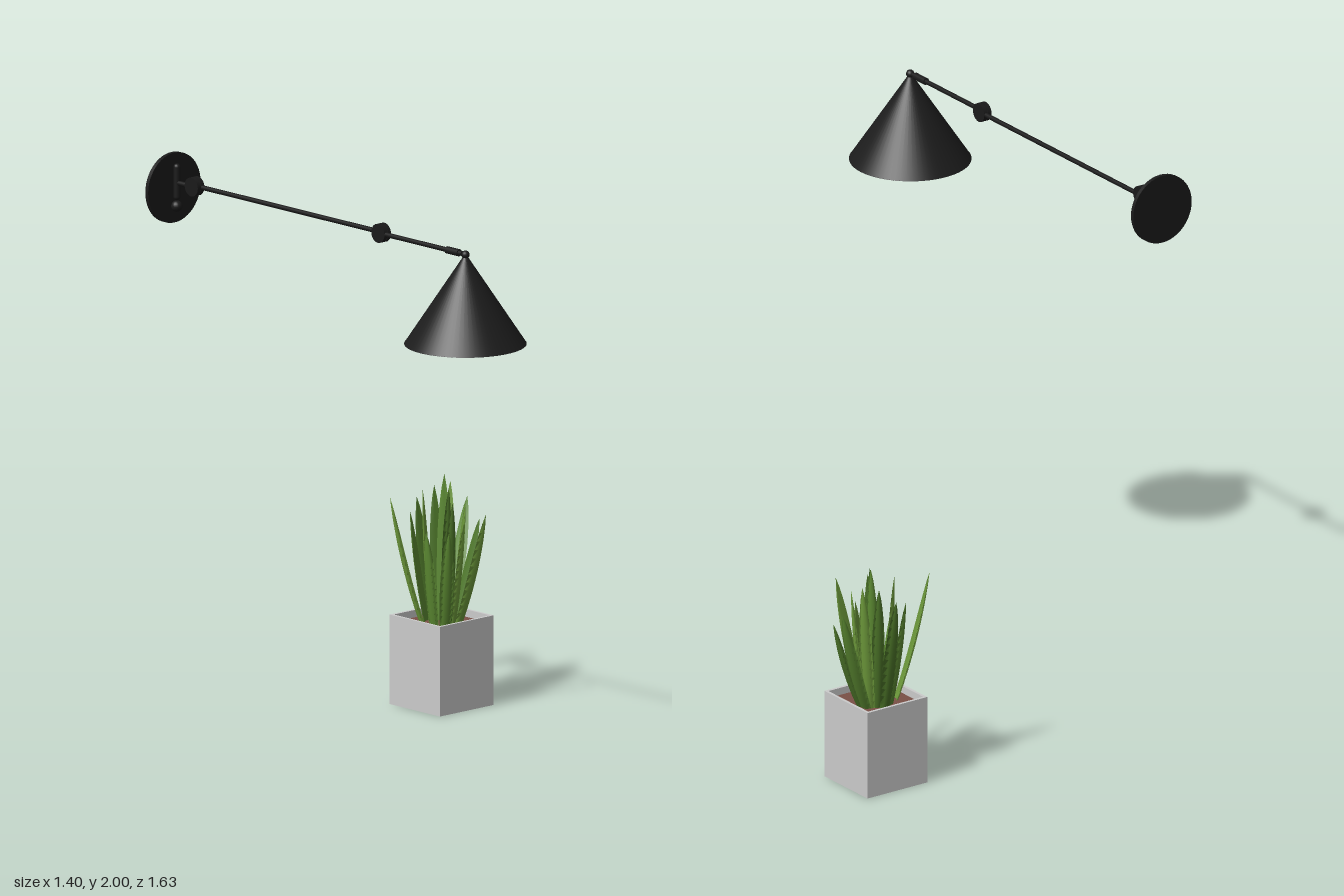
import * as THREE from 'three';

const mat = (color, side = THREE.FrontSide) => new THREE.MeshStandardMaterial({ color, side });
const black = mat(0x1a1a1a);
const blackOpen = mat(0x1c1c1c, THREE.DoubleSide);
const concrete = mat(0xcccccc);
const greens = [mat(0x6f9c3c, THREE.DoubleSide), mat(0x5c8a32, THREE.DoubleSide), mat(0x4d7629, THREE.DoubleSide)];

function add(parent, name, geometry, material, x = 0, y = 0, z = 0) {
  const mesh = new THREE.Mesh(geometry, material);
  mesh.name = name;
  mesh.position.set(x, y, z);
  parent.add(mesh);
  return mesh;
}

// Cylinder lying along z between two depths
function rod(parent, name, r, x, y, z0, z1, sides = 16) {
  const geo = new THREE.CylinderGeometry(r, r, Math.abs(z1 - z0), sides).rotateX(Math.PI / 2);
  return add(parent, name, geo, black, x, y, (z0 + z1) / 2);
}

function createLamp() {
  const lamp = new THREE.Group();
  lamp.name = 'wallLamp';
  const X = -0.5, Y = 1.9, Z = 0.615;

  // Wall plate and swivel
  rod(lamp, 'wallPlate', 0.119, X, 1.881, -0.81, -0.796, 48);
  add(lamp, 'swivelPost', new THREE.CapsuleGeometry(0.012, 0.1, 6, 16), black, X, 1.903, -0.784);
  add(lamp, 'swivelKnob', new THREE.SphereGeometry(0.019, 16, 12), black, X, 1.82, -0.785);

  // Arm in three offset lengths
  rod(lamp, 'rearArm', 0.008, X, Y, -0.79, -0.69);
  rod(lamp, 'mainArm', 0.008, -0.487, Y, -0.72, 0.2);
  rod(lamp, 'frontArm', 0.008, X, Y, 0.19, 0.6);
  rod(lamp, 'armSleeve', 0.012, X, Y, 0.525, 0.585);

  // Disc hinges between the lengths
  for (const z of [-0.705, 0.2]) {
    for (const x of [-0.502, -0.486]) {
      const disc = new THREE.CylinderGeometry(0.032, 0.032, 0.014, 28).rotateZ(Math.PI / 2);
      add(lamp, 'hingeDisc', disc, black, x, Y, z);
    }
  }

  // Conical shade with pale lining and dark rim
  add(lamp, 'shade', new THREE.ConeGeometry(0.203, 0.308, 64, 1, true), blackOpen, X, 1.75, Z);
  add(lamp, 'shadeLining', new THREE.ConeGeometry(0.193, 0.293, 64, 1, true), mat(0xcccccc, THREE.BackSide), X, 1.7435, Z);
  const rim = new THREE.RingGeometry(0.19, 0.203, 64).rotateX(Math.PI / 2);
  add(lamp, 'shadeRim', rim, blackOpen, X, 1.597, Z);
  add(lamp, 'shadeCap', new THREE.SphereGeometry(0.014, 16, 12), black, X, 1.899, Z);
  add(lamp, 'bulbSocket', new THREE.CylinderGeometry(0.045, 0.05, 0.12, 32), black, X, 1.745, Z);
  return lamp;
}

// Channelled blade swept along a curve, wide in the middle and pointed at the tip
function leafGeometry(base, tip, halfWidth) {
  const mid = base.clone().lerp(tip, 0.62);
  mid.y = base.y + (tip.y - base.y) * 0.45;
  const curve = new THREE.QuadraticBezierCurve3(base, mid, tip);
  const inward = new THREE.Vector3(base.x - tip.x, 0, base.z - tip.z).normalize();
  const section = [[-1, 0.3], [-0.55, -0.12], [0, -0.3], [0.55, -0.12], [1, 0.3], [0, 0]];
  const rings = 14, n = section.length, pos = [], index = [];
  for (let i = 0; i <= rings; i++) {
    const t = i / rings;
    const p = curve.getPoint(t), up = curve.getTangent(t);
    const side = new THREE.Vector3().crossVectors(inward, up).normalize();
    const face = new THREE.Vector3().crossVectors(up, side);
    const w = halfWidth * (0.65 + 0.55 * t) * Math.pow(1 - Math.pow(t, 2.6), 0.85) + 0.0004;
    for (const [a, b] of section) {
      const v = p.clone().addScaledVector(side, a * w).addScaledVector(face, b * w);
      pos.push(v.x, v.y, v.z);
    }
    if (i === rings) continue;
    for (let j = 0; j < n; j++) {
      const a = i * n + j, b = i * n + (j + 1) % n;
      index.push(a, b, b + n, a, b + n, a + n);
    }
  }
  const geo = new THREE.BufferGeometry();
  geo.setAttribute('position', new THREE.Float32BufferAttribute(pos, 3));
  geo.setIndex(index);
  geo.computeVertexNormals();
  return geo;
}

function createPlant() {
  const plant = new THREE.Group();
  plant.name = 'pottedPlant';
  const cx = 0.493, cz = -0.563, half = 0.122, height = 0.305, wall = 0.01;

  // Square pot: floor and hollow walls
  const square = (s, Path) => new Path([[-s, -s], [s, -s], [s, s], [-s, s]].map(([x, y]) => new THREE.Vector2(x, y)));
  const outline = square(half, THREE.Shape);
  outline.holes.push(square(half - wall, THREE.Path));
  const walls = new THREE.ExtrudeGeometry(outline, { depth: height, bevelEnabled: false }).rotateX(-Math.PI / 2);
  add(plant, 'potWalls', walls, concrete, cx, 0, cz);
  const inner = 2 * (half - wall);
  add(plant, 'potFloor', new THREE.BoxGeometry(inner, 0.02, inner), concrete, cx, 0.01, cz);
  add(plant, 'soil', new THREE.BoxGeometry(inner, 0.26, inner), mat(0x7a5046), cx, 0.15, cz);

  // Leaves: tip x, y, z and half width
  const leaves = [
    [0.322, 0.72, -0.63, 0.026], [0.695, 0.66, -0.655, 0.03], [0.675, 0.6, -0.575, 0.026],
    [0.53, 0.67, -0.388, 0.03], [0.425, 0.61, -0.455, 0.028], [0.51, 0.68, -0.702, 0.03],
    [0.6, 0.73, -0.635, 0.027], [0.54, 0.77, -0.6, 0.028], [0.49, 0.74, -0.525, 0.026],
    [0.455, 0.73, -0.615, 0.027], [0.41, 0.6, -0.55, 0.028], [0.47, 0.7, -0.485, 0.026],
    [0.57, 0.68, -0.53, 0.026], [0.44, 0.65, -0.66, 0.028], [0.55, 0.72, -0.66, 0.027],
    [0.525, 0.62, -0.49, 0.026],
  ];
  leaves.forEach(([x, y, z, w], i) => {
    const tip = new THREE.Vector3(x, y, z);
    const out = new THREE.Vector3(x - cx, 0, z - cz);
    const reach = Math.min(0.07, 0.012 + out.length() * 0.4);
    const base = out.normalize().multiplyScalar(reach).add(new THREE.Vector3(cx, 0.275, cz));
    add(plant, 'leaf', leafGeometry(base, tip, w), greens[i % greens.length]);
  });
  return plant;
}

export function createModel() {
  const model = new THREE.Group();
  model.name = 'lampAndPlant';
  model.add(createLamp(), createPlant());
  return model;
}
